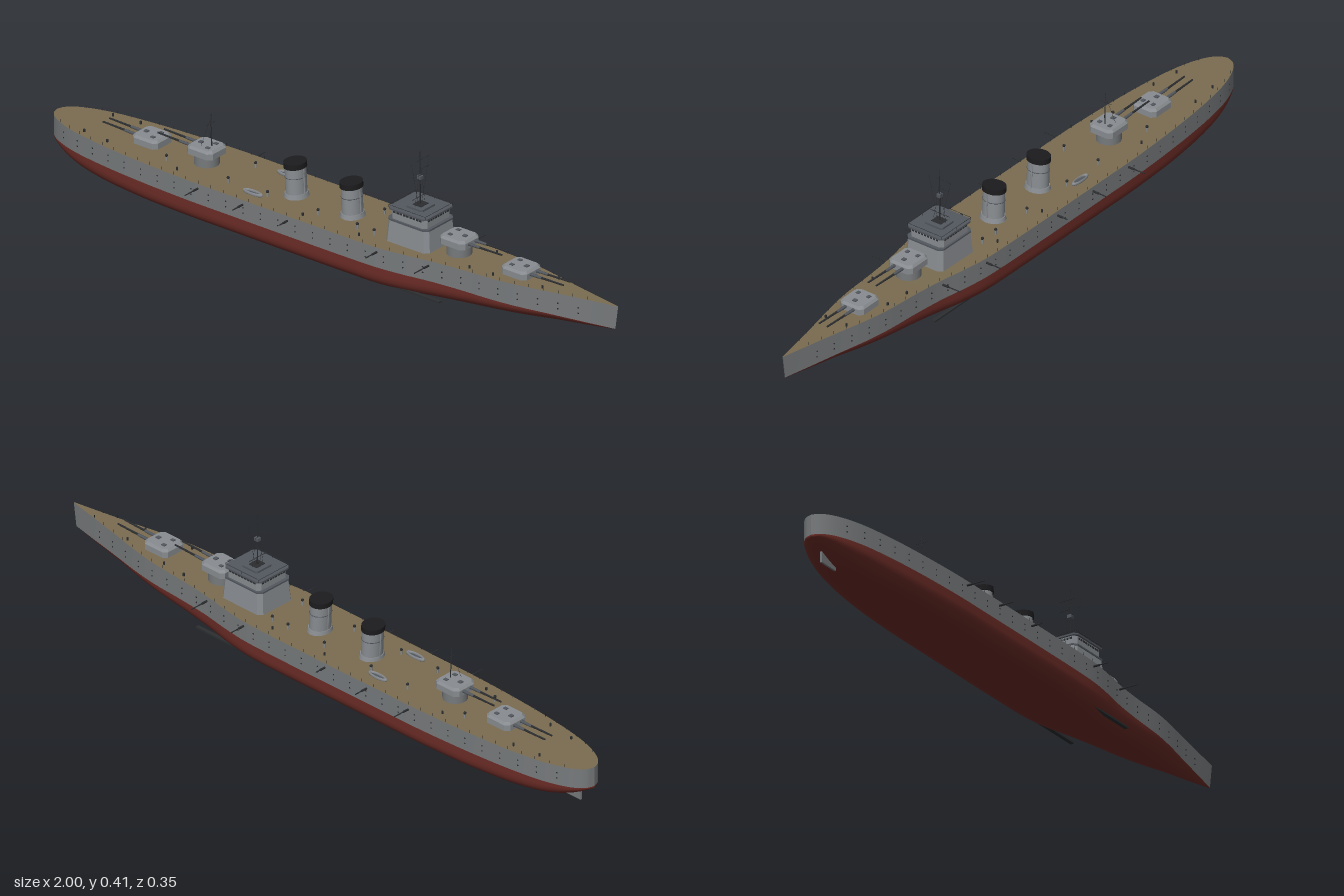
import * as THREE from 'three';

const mat = (name, color, side = THREE.FrontSide) => {
  const m = new THREE.MeshStandardMaterial({ color, side });
  m.name = name;
  return m;
};

export function createModel() {
  const ship = new THREE.Group();
  ship.name = 'warship';
  const hullGrey = mat('hull grey', 0x777a7c, THREE.DoubleSide);
  const red = mat('underwater red', 0x6e2d27, THREE.DoubleSide);
  const wood = mat('deck wood', 0x7a6c50, THREE.DoubleSide);
  const grey = mat('superstructure grey', 0x888c90);
  const roofGrey = mat('roof grey', 0x53585f);
  const dark = mat('dark metal', 0x2b2d30);
  const black = mat('funnel black', 0x1c1c1e);

  const add = (name, geo, m, x = 0, y = 0, z = 0, parent = ship) => {
    const mesh = new THREE.Mesh(geo, m);
    mesh.name = name;
    mesh.position.set(x, y, z);
    parent.add(mesh);
    return mesh;
  };
  const box = (name, w, h, d, m, x, y, z, parent) => add(name, new THREE.BoxGeometry(w, h, d), m, x, y, z, parent);
  const cyl = (name, rt, rb, h, m, x, y, z, parent, n = 16) =>
    add(name, new THREE.CylinderGeometry(rt, rb, h, n), m, x, y, z, parent);
  // Thin bar between two points
  const rod = (name, a, b, r, m, parent = ship, r2 = r) => {
    const p = new THREE.Vector3(...a), q = new THREE.Vector3(...b), d = q.clone().sub(p);
    const mesh = add(name, new THREE.CylinderGeometry(r2, r, d.length(), 8), m, 0, 0, 0, parent);
    mesh.position.copy(p).add(q).multiplyScalar(0.5);
    mesh.quaternion.setFromUnitVectors(new THREE.Vector3(0, 1, 0), d.normalize());
    return mesh;
  };
  // Block with clipped corners, base at y = 0, top scaled by taper
  const block = (l, w, h, c, taper = 1) => {
    const a = l / 2, b = w / 2;
    const pts = [[a, b - c], [a - c, b], [c - a, b], [-a, b - c], [-a, c - b], [c - a, -b], [a - c, -b], [a, c - b]];
    const geo = new THREE.ExtrudeGeometry(new THREE.Shape(pts.map(p => new THREE.Vector2(...p))), { depth: h, bevelEnabled: false });
    geo.rotateX(-Math.PI / 2);
    const pos = geo.attributes.position;
    for (let i = 0; i < pos.count; i++) {
      const s = 1 + (taper - 1) * pos.getY(i) / h;
      pos.setXYZ(i, pos.getX(i) * s, pos.getY(i), pos.getZ(i) * s);
    }
    geo.computeVertexNormals();
    return geo;
  };
  // Skin over a grid of cross-section rows
  const skin = rows => {
    const n = rows[0].length, idx = [];
    for (let i = 0; i < rows.length - 1; i++) for (let j = 0; j < n - 1; j++) {
      const a = i * n + j, b = a + n;
      idx.push(a, a + 1, b, a + 1, b + 1, b);
    }
    const geo = new THREE.BufferGeometry();
    geo.setAttribute('position', new THREE.Float32BufferAttribute(rows.flat(2), 3));
    geo.setIndex(idx);
    geo.computeVertexNormals();
    return geo;
  };

  // Hull stations: x, half breadth, keel height
  const stations = [
    [-1, 0, 0.07], [-0.992, 0.022, 0.065], [-0.97, 0.043, 0.053], [-0.93, 0.063, 0.035], [-0.87, 0.081, 0.017],
    [-0.78, 0.096, 0.006], [-0.65, 0.109, 0.003], [-0.45, 0.119, 0.002], [-0.3, 0.12, 0.002], [0.15, 0.12, 0.002],
    [0.24, 0.117, 0.002], [0.32, 0.107, 0.004], [0.4, 0.093, 0.009], [0.5, 0.082, 0.017], [0.62, 0.073, 0.027],
    [0.7, 0.061, 0.034], [0.8, 0.04, 0.046], [0.9, 0.02, 0.06], [1, 0.001, 0.074]];
  const lerp = THREE.MathUtils.lerp, clamp = THREE.MathUtils.clamp;
  const at = (x, k) => {
    let i = 1;
    while (i < stations.length - 1 && stations[i][0] < x) i++;
    const p = stations[i - 1], q = stations[i];
    return lerp(p[k], q[k], clamp((x - p[0]) / (q[0] - p[0]), 0, 1));
  };
  const deckY = x => 0.136 + 0.011 * clamp((x - 0.2) / 0.8, 0, 1) ** 1.5;
  const WL = 0.075;
  const curve = new THREE.CatmullRomCurve3(stations.map(s => new THREE.Vector3(...s)), false, 'centripetal');
  const lower = [], port = [], starboard = [], deck = [];
  for (const { x, y: b0, z: k } of curve.getPoints(108)) {
    const b = Math.max(b0, 0), top = deckY(x), xw = x > 0.9 ? x - (x - 0.9) * 0.1 : x;
    const full = 3.6 - 2.1 * clamp((x - 0.2) / 0.6, 0, 1) - 1.4 * clamp((-0.6 - x) / 0.4, 0, 1);
    const row = [];
    for (let j = 0; j <= 24; j++) {
      const t = Math.PI * j / 24, c = Math.cos(t);
      row.push([xw, WL - (WL - k) * Math.sin(t) ** (2 / full), b * Math.sign(c) * Math.abs(c) ** (2 / full)]);
    }
    lower.push(row);
    port.push([[x, top, b], [xw, WL, b]]);
    starboard.push([[xw, WL, -b], [x, top, -b]]);
    deck.push([[x, top, -b], [x, top, b]]);
  }
  add('lowerHull', skin(lower), red);
  add('leftHullSide', skin(port), hullGrey);
  add('rightHullSide', skin(starboard), hullGrey);
  add('deck', skin(deck), wood);
  box('rudder', 0.07, 0.045, 0.006, hullGrey, -0.915, 0.033, 0);

  for (const s of [-1, 1]) {
    box('bilgeKeel', 0.5, 0.005, 0.012, dark, 0.19, 0.021, s * 0.09);
    // Side guns
    for (const [x, reach] of [[-0.4, 0.176], [-0.24, 0.165], [-0.08, 0.155], [0.235, 0.165], [0.4, 0.155]]) {
      const z = at(x, 1);
      rod('sideGunSleeve', [x, 0.122, s * (z - 0.01)], [x, 0.122, s * (z + 0.02)], 0.0032, dark);
      rod('sideGunBarrel', [x, 0.122, s * z], [x, 0.122, s * reach], 0.0017, dark);
    }
    // Deck edge rail
    for (let x = -0.94; x < 0.95; x += 0.045) {
      const z = s * (at(x, 1) - 0.002);
      rod('railPost', [x, deckY(x), z], [x, deckY(x) + 0.009, z], 0.0007, dark);
    }
    // Portholes and hawse opening
    for (let x = -0.92; x < 0.94; x += 0.062) for (const y of [0.097, 0.114]) {
      const slope = (at(x + 0.01, 1) - at(x - 0.01, 1)) / 0.02;
      const hole = add('porthole', new THREE.CylinderGeometry(0.0022, 0.0022, 0.003, 8), dark, x, y, s * at(x, 1));
      hole.rotation.set(Math.PI / 2, 0, s * Math.atan(slope));
    }
    // Life rafts
    const raft = add('lifeRaft', new THREE.TorusGeometry(0.027, 0.005, 8, 24), grey, -0.24, 0.142, s * 0.075);
    raft.rotation.x = Math.PI / 2;
    raft.scale.set(1.1, 0.32, 1);
    box('raftFloor', 0.05, 0.004, 0.012, roofGrey, -0.24, 0.139, s * 0.075);
    // Vents and bollards
    for (const x of [-0.56, -0.34, -0.2, -0.02, 0.12, 0.18]) {
      cyl('ventPipe', 0.003, 0.003, 0.016, grey, x, 0.143, s * 0.06, ship, 8);
      add('ventHead', new THREE.SphereGeometry(0.0045, 8, 6), dark, x, 0.152, s * 0.06);
    }
    for (const x of [-0.85, -0.76, -0.5, -0.05, 0.15, 0.52, 0.6, 0.76])
      cyl('bollard', 0.003, 0.003, 0.009, dark, x, deckY(x) + 0.004, s * at(x, 1) * 0.75, ship, 8);
  }

  // Main turrets: x, base of gun house, facing
  for (const [x, y, dir] of [[0.655, 0.145, 1], [0.435, 0.17, 1], [-0.465, 0.168, -1], [-0.66, 0.141, -1]]) {
    const t = new THREE.Group();
    t.name = 'turret';
    t.position.set(x, y, 0);
    t.rotation.y = dir > 0 ? 0 : Math.PI;
    ship.add(t);
    const drop = y - deckY(x) + 0.003;
    cyl('barbette', 0.036, 0.036, drop, hullGrey, 0, -drop / 2, 0, t, 28);
    add('gunHouse', block(0.09, 0.082, 0.018, 0.012), grey, 0, 0, 0, t);
    add('gunHouseRoof', block(0.09, 0.082, 0.007, 0.012, 0.86), grey, 0, 0.018, 0, t);
    for (const s of [-1, 1]) {
      rod('gunSleeve', [0.03, 0.013, s * 0.014], [0.085, 0.014, s * 0.014], 0.005, roofGrey, t, 0.004);
      rod('gunBarrel', [0.08, 0.014, s * 0.014], [0.163, 0.016, s * 0.014], 0.0032, dark, t, 0.0025);
      box('roofHatch', 0.012, 0.003, 0.01, roofGrey, -0.018, 0.026, s * 0.018, t);
    }
    box('roofSight', 0.012, 0.004, 0.012, roofGrey, 0.02, 0.026, 0, t);
  }

  // Funnels, raked slightly aft
  for (const x of [-0.145, 0.055]) {
    const f = new THREE.Group();
    f.name = 'funnel';
    f.position.set(x, 0.134, 0);
    f.rotation.z = 0.05;
    f.scale.z = 1.16;
    ship.add(f);
    cyl('funnelBase', 0.031, 0.034, 0.014, grey, 0, 0.007, 0, f, 28);
    cyl('funnelBody', 0.028, 0.029, 0.085, grey, 0, 0.05, 0, f, 28);
    cyl('funnelCap', 0.031, 0.031, 0.016, black, 0, 0.098, 0, f, 28);
    const ring = add('funnelBand', new THREE.TorusGeometry(0.0285, 0.0012, 6, 28), roofGrey, 0, 0.062, 0, f);
    ring.rotation.x = Math.PI / 2;
    for (const s of [-1, 1]) rod('steamPipe', [s * 0.03, 0.005, 0], [s * 0.03, 0.09, 0], 0.002, grey, f);
  }

  // Bridge tower
  add('bridgeBase', block(0.155, 0.134, 0.068, 0.012, 0.92), grey, 0.297, 0.135, 0);
  add('bridgeLedge', block(0.146, 0.128, 0.005, 0.012), roofGrey, 0.297, 0.201, 0);
  add('bridgeHouse', block(0.126, 0.116, 0.03, 0.01), grey, 0.297, 0.205, 0);
  add('bridgeRoof', block(0.138, 0.128, 0.005, 0.01), roofGrey, 0.297, 0.234, 0);
  add('roofHouse', block(0.06, 0.064, 0.006, 0.006), roofGrey, 0.297, 0.239, 0);
  box('roofHatch', 0.03, 0.003, 0.034, dark, 0.297, 0.245, 0);
  for (const s of [-1, 1]) {
    for (let i = -4; i <= 4; i++) {
      box('sideWindow', 0.008, 0.006, 0.002, dark, 0.297 + i * 0.0115, 0.228, s * 0.058);
      box('endWindow', 0.002, 0.006, 0.007, dark, 0.297 + s * 0.063, 0.228, i * 0.0105);
    }
    rod('roofRail', [0.232, 0.246, s * 0.06], [0.362, 0.246, s * 0.06], 0.0006, dark);
    rod('roofRail', [0.297 + s * 0.065, 0.246, -0.06], [0.297 + s * 0.065, 0.246, 0.06], 0.0006, dark);
    for (let i = -1; i <= 1; i++) rod('roofRailPost', [0.297 + i * 0.065, 0.238, s * 0.06], [0.297 + i * 0.065, 0.246, s * 0.06], 0.0006, dark);
  }

  // Foremast with yards and rigging
  rod('foremast', [0.295, 0.24, 0], [0.295, 0.41, 0], 0.0022, dark, ship, 0.001);
  for (const [y, z0, z1] of [[0.268, -0.034, 0.034], [0.332, -0.008, 0.008], [0.35, -0.038, 0], [0.38, -0.038, 0.015]])
    rod('foreYard', [0.295, y, z0], [0.295, y, z1], 0.0008, dark);
  box('lookout', 0.014, 0.01, 0.012, roofGrey, 0.295, 0.327, 0);
  // Aft mast behind the upper rear turret
  rod('aftMast', [-0.447, 0.19, 0], [-0.45, 0.29, 0], 0.0016, dark, ship, 0.0008);
  rod('aftYard', [-0.45, 0.262, -0.02], [-0.45, 0.262, 0.02], 0.0007, dark);
  for (const s of [-1, 1]) {
    rod('foreStay', [0.295, 0.38, s * 0.038], [0.295, 0.245, s * 0.008], 0.0004, dark);
    rod('foreShroud', [0.295, 0.37, 0], [0.295, 0.242, s * 0.022], 0.0004, dark);
    rod('aftShroud', [-0.45, 0.28, 0], [-0.47, 0.193, s * 0.02], 0.0004, dark);
  }
  return ship;
}
